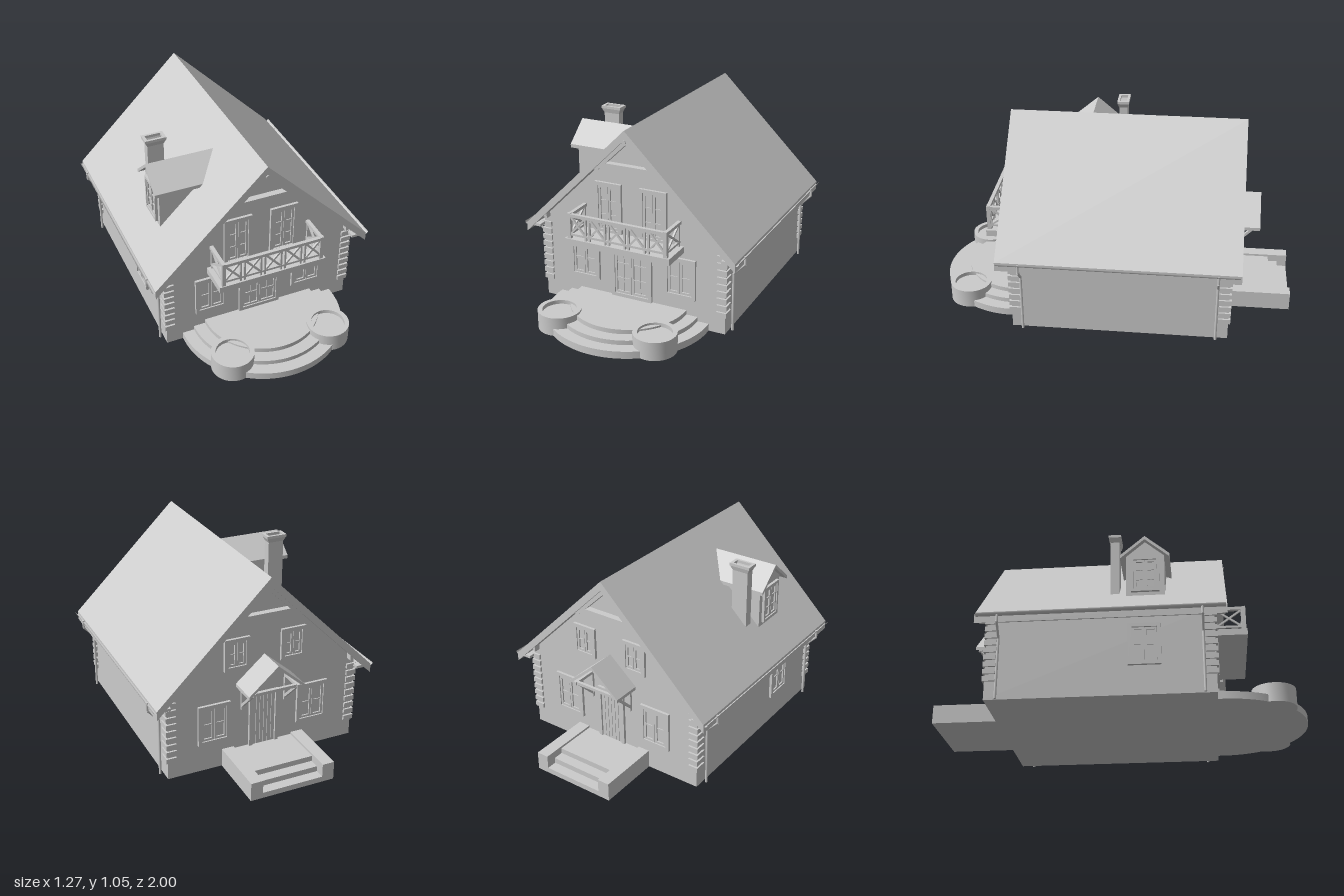
import * as THREE from 'three';
import { toCreasedNormals } from 'three/addons/utils/BufferGeometryUtils.js';

const mat = new THREE.MeshStandardMaterial({ color: 0xcccccc, side: THREE.DoubleSide });
const V = (x, y, z) => new THREE.Vector3(x, y, z);

function add(parent, name, geo, x = 0, y = 0, z = 0) {
  const m = new THREE.Mesh(geo, mat);
  m.name = name;
  m.position.set(x, y, z);
  parent.add(m);
  return m;
}
function group(parent, name, x = 0, y = 0, z = 0, ry = 0) {
  const g = new THREE.Group();
  g.name = name;
  g.position.set(x, y, z);
  g.rotation.y = ry;
  parent.add(g);
  return g;
}
// box given by its two extreme corners
function box(parent, name, x0, x1, y0, y1, z0, z1) {
  return add(parent, name, new THREE.BoxGeometry(Math.abs(x1 - x0), y1 - y0, z1 - z0), (x0 + x1) / 2, (y0 + y1) / 2, (z0 + z1) / 2);
}
// outline in the xy plane pushed from z0 to z1
function prism(parent, name, pts, z0, z1, hole) {
  const s = new THREE.Shape(pts.map(p => new THREE.Vector2(...p)));
  if (hole) s.holes.push(new THREE.Path(hole.map(p => new THREE.Vector2(...p))));
  return add(parent, name, new THREE.ExtrudeGeometry(s, { depth: z1 - z0, bevelEnabled: false }), 0, 0, z0);
}
const rect = (w, y0, y1) => [[-w, y0], [w, y0], [w, y1], [-w, y1]];
// two roof slopes meeting at a ridge along z
function gableRoof(parent, name, w, top, eave, t, z0, z1) {
  prism(parent, name, [[0, top], [-w, eave], [-w, eave - t], [0, top - t], [w, eave - t], [w, eave]], z0, z1);
}
// round or square bar between two points
function bar(parent, name, a, b, r, square = false) {
  const geo = square ? new THREE.BoxGeometry(2 * r, a.distanceTo(b), 2 * r) : new THREE.CylinderGeometry(r, r, a.distanceTo(b), 10);
  const m = add(parent, name, geo);
  m.position.copy(a).lerp(b, 0.5);
  m.quaternion.setFromUnitVectors(V(0, 1, 0), b.clone().sub(a).normalize());
}

// framed window facing local +z, with leaves that hold a grid of panes
function makeWindow(parent, name, w, y0, y1, leaves, rows, x, z, ry = 0, trim = 0.02) {
  const g = group(parent, name, x, 0, z, ry), h = w / 2, i = h - trim;
  prism(g, 'casing', rect(h, y0, y1), -0.005, 0.015, rect(i, y0 + trim, y1 - trim));
  box(g, 'glass', -i, i, y0 + trim, y1 - trim, -0.005, 0.002);
  const lw = 2 * i / leaves, b = 0.012;
  for (let k = 0; k < leaves; k++) {
    const s = group(g, 'leaf', -i + lw * (k + 0.5));
    const q = lw / 2 - 0.001, lo = y0 + trim + 0.002, hi = y1 - trim - 0.002;
    prism(s, 'sash', rect(q, lo, hi), 0, 0.01, rect(q - b, lo + b, hi - b));
    if (leaves === 2 && w > 0.2) box(s, 'uprightBar', -0.003, 0.003, lo, hi, 0, 0.007);
    for (let r = 1; r < rows; r++) {
      const y = lo + (hi - lo) * r / rows;
      box(s, 'crossBar', -q, q, y - 0.003, y + 0.003, 0, 0.007);
    }
  }
}

// one lattice panel in the xy plane
function crossPanel(parent, w, x) {
  const p = group(parent, 'crossPanel', x);
  for (const s of [-1, 1]) bar(p, 'diagonal', V(-s * w / 2, 0.485, 0), V(s * w / 2, 0.575, 0), 0.005, true);
}

export function createModel() {
  const house = new THREE.Group();
  house.name = 'house';
  const F = 0.52, B = -0.655;

  // walls and main roof
  prism(house, 'walls', [[-0.542, 0], [0.542, 0], [0.542, 0.475], [0, 1.01], [-0.542, 0.475]], B, F);
  gableRoof(house, 'mainRoof', 0.615, 1.055, 0.447, 0.05, -0.71, 0.585);
  for (const s of [-1, 1]) box(house, 'soffit', s * 0.535, s * 0.605, 0.43, 0.445, -0.7, 0.575);

  // gable trusses
  for (const [z0, z1] of [[0.535, 0.57], [-0.695, -0.66]]) {
    prism(house, 'gableTruss', [[-0.2, 0.815], [-0.17, 0.815], [-0.155, 0.828], [0.155, 0.828], [0.17, 0.815], [0.2, 0.815], [0, 1.01]],
      z0, z1, [[-0.12, 0.86], [0.12, 0.86], [0, 0.975]]);
    for (const s of [-1, 1]) prism(house, 'purlinEnd', [[s * 0.52, 0.495], [s * 0.495, 0.52], [s * 0.495, 0.485]], z0, z1);
  }
  const peg = add(house, 'ridgePeg', new THREE.CylinderGeometry(0.011, 0.011, 0.03, 6), 0, 0.995, 0.577);
  peg.rotation.x = Math.PI / 2;

  // stacked log ends on the four corners
  for (const s of [-1, 1]) for (const [z0, z1] of [[0.468, 0.531], [-0.666, -0.6]])
    for (let i = 0; i < 9; i++) box(house, 'logEnd', s * 0.495, s * 0.552, 0.1 + i * 0.04, 0.127 + i * 0.04, z0, z1);

  // gutters and downpipes
  for (const s of [-1, 1]) {
    const trough = add(house, 'gutter', new THREE.CylinderGeometry(0.016, 0.016, 1.28, 12, 1, true, -Math.PI / 2, Math.PI), s * 0.617, 0.448, -0.062);
    trough.rotation.x = Math.PI / 2;
    for (const z of [0.46, -0.59]) {
      const path = [V(s * 0.622, 0.44, z), V(s * 0.622, 0.395, z), V(s * 0.56, 0.33, z), V(s * 0.56, 0, z)];
      for (let i = 0; i < 3; i++) bar(house, 'downpipe', path[i], path[i + 1], 0.007);
    }
  }

  // windows and doors
  for (const s of [-1, 1]) {
    makeWindow(house, 'frontWindow', 0.18, 0.16, 0.388, 2, 2, s * 0.285, F);
    makeWindow(house, 'balconyDoor', 0.157, 0.45, 0.737, 2, 3, s * 0.132, F);
    makeWindow(house, 'backWindow', 0.18, 0.16, 0.388, 2, 2, s * 0.285, B, Math.PI);
    makeWindow(house, 'backUpperWindow', 0.14, 0.56, 0.737, 2, 2, s * 0.16, B, Math.PI);
  }
  makeWindow(house, 'frontDoor', 0.24, 0.09, 0.397, 2, 3, 0, F);
  makeWindow(house, 'sideWindow', 0.17, 0.16, 0.388, 2, 2, -0.542, 0.16, -Math.PI / 2);
  const door = group(house, 'backDoor', 0, 0, B, Math.PI);
  prism(door, 'doorCasing', rect(0.085, 0.09, 0.4), -0.005, 0.015, rect(0.066, 0.09, 0.381));
  for (let i = 0; i < 6; i++) box(door, 'plank', -0.065 + i * 0.022, -0.0455 + i * 0.022, 0.09, 0.381, -0.005, 0.006);

  // balcony
  const balcony = group(house, 'balcony');
  box(balcony, 'balconyFloor', -0.305, 0.305, 0.42, 0.456, 0.5, 0.695);
  const railing = (w, panels, x, z, ry) => {
    const r = group(balcony, 'railing', x, 0, z, ry);
    box(r, 'handrail', -w / 2, w / 2, 0.578, 0.595, -0.01, 0.01);
    box(r, 'bottomRail', -w / 2, w / 2, 0.473, 0.485, -0.006, 0.006);
    const p = w / panels;
    for (let i = 0; i < panels; i++) crossPanel(r, p - 0.035, -w / 2 + p * (i + 0.5));
    for (let i = 0; i <= panels; i++) for (const d of [-0.011, 0.011]) {
      const px = -w / 2 + p * i + d;
      if (Math.abs(px) < w / 2) box(r, 'post', px - 0.005, px + 0.005, 0.456, 0.58, -0.006, 0.006);
    }
  };
  railing(0.575, 5, 0, 0.68, 0);
  for (const s of [-1, 1]) {
    railing(0.16, 1, s * 0.279, 0.6, Math.PI / 2);
    box(balcony, 'cornerPost', s * 0.27, s * 0.29, 0.456, 0.598, 0.67, 0.69);
  }

  // round front steps and planters
  for (const [r, h] of [[0.45, 0.04], [0.385, 0.065], [0.32, 0.09]]) {
    const s = new THREE.Shape();
    s.moveTo(r, -0.04).lineTo(r, 0).absarc(0, 0, r, 0, Math.PI, false).lineTo(-r, -0.04);
    const geo = new THREE.ExtrudeGeometry(s, { depth: h, bevelEnabled: false, curveSegments: 40 });
    geo.rotateX(Math.PI / 2);
    add(house, 'frontStep', toCreasedNormals(geo, 0.6), 0, h, 0.55);
  }
  const pot = [[0, 0], [0.115, 0], [0.115, 0.102], [0.09, 0.102], [0.09, 0.08], [0, 0.08]].map(p => new THREE.Vector2(...p));
  for (const s of [-1, 1]) add(house, 'planter', toCreasedNormals(new THREE.LatheGeometry(pot, 40), 0.6), s * 0.282, 0, 0.81);

  // back steps between low walls
  for (const s of [-1, 1]) box(house, 'stepWall', s * 0.17, s * 0.237, 0, 0.102, -1, -0.65);
  [-1, -0.945, -0.89].forEach((z, i) => box(house, 'backStep', -0.17, 0.17, 0, 0.03 * (i + 1), z, -0.65));

  // canopy over the back door
  const canopy = group(house, 'canopy');
  gableRoof(canopy, 'canopyRoof', 0.16, 0.615, 0.475, 0.018, -0.81, -0.64);
  for (const s of [-1, 1]) {
    const x = s * 0.125;
    bar(canopy, 'canopyArm', V(x, 0.468, -0.65), V(x, 0.468, -0.8), 0.008, true);
    bar(canopy, 'canopyBrace', V(x, 0.34, -0.66), V(x, 0.465, -0.785), 0.007, true);
    bar(canopy, 'canopyWallPost', V(x, 0.32, -0.66), V(x, 0.475, -0.66), 0.008, true);
  }
  bar(canopy, 'canopyTie', V(-0.14, 0.468, -0.785), V(0.14, 0.468, -0.785), 0.008, true);

  // dormer facing -x
  const dormer = group(house, 'dormer', 0, 0, 0.163, -Math.PI / 2);
  prism(dormer, 'dormerWalls', [[-0.103, 0.565], [0.103, 0.565], [0.103, 0.835], [0, 0.922], [-0.103, 0.835]], 0.12, 0.465);
  gableRoof(dormer, 'dormerRoof', 0.133, 0.94, 0.827, 0.02, 0.115, 0.497);
  makeWindow(dormer, 'dormerWindow', 0.15, 0.615, 0.82, 2, 3, 0, 0.465, 0, 0.014);

  // chimney with flared, hollow cap
  const chimney = group(house, 'chimney', -0.388, 0, -0.002);
  box(chimney, 'stack', -0.046, 0.046, 0.6, 0.95, -0.024, 0.024);
  const flare = new THREE.CylinderGeometry(0.058 * Math.SQRT2, 0.046 * Math.SQRT2, 0.025, 4, 1, true).toNonIndexed();
  flare.rotateY(Math.PI / 4).scale(1, 1, 0.56).computeVertexNormals();
  add(chimney, 'capFlare', flare, 0, 0.9575, 0);
  const rim = prism(chimney, 'capRim', rect(0.06, -0.034, 0.034), 0, 0.015, rect(0.044, -0.02, 0.02));
  rim.rotation.x = -Math.PI / 2;
  rim.position.y = 0.97;

  return house;
}
